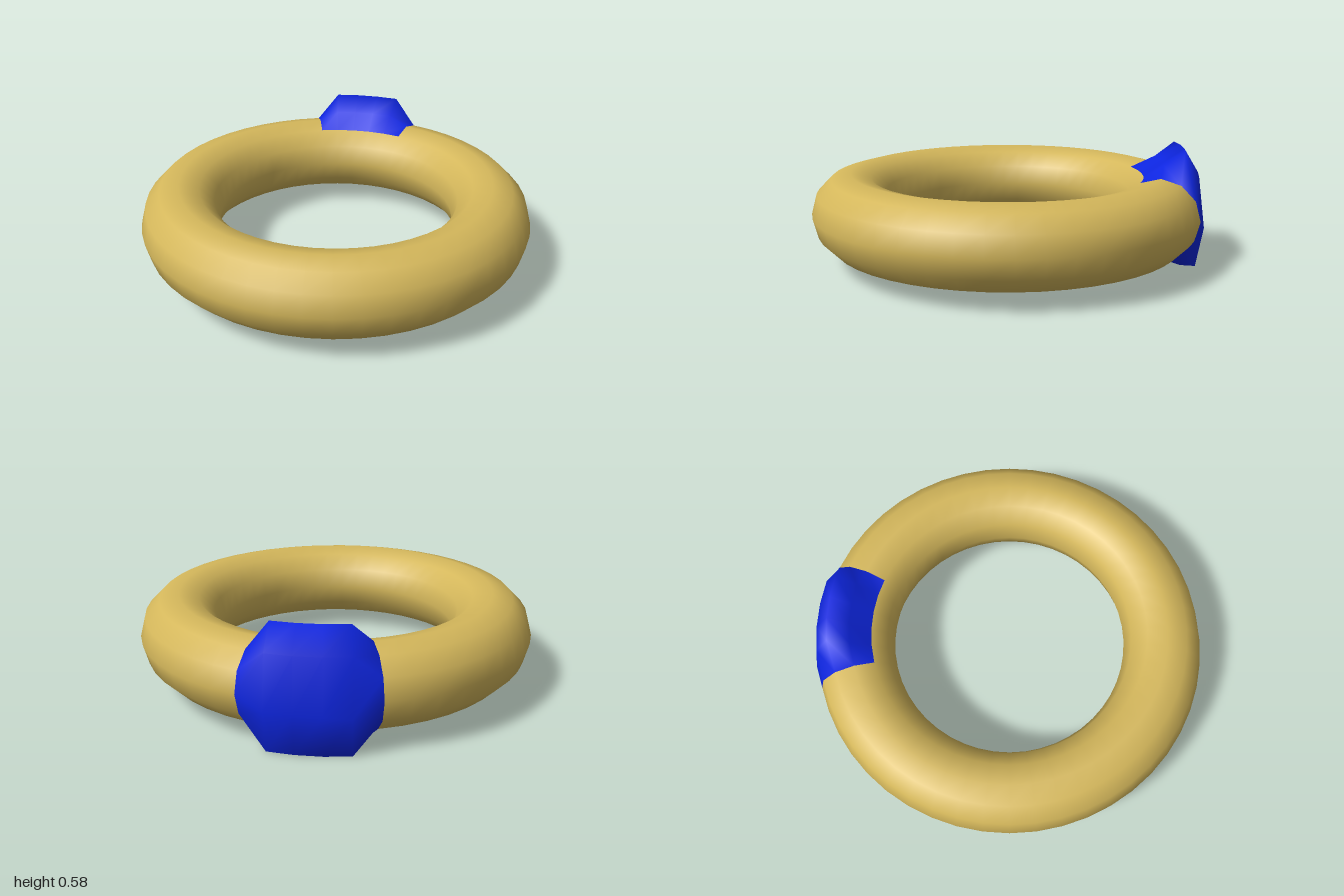
import * as THREE from 'three';
import { mergeVertices } from 'three/addons/utils/BufferGeometryUtils.js';

const SIDES = 12, SEGMENTS = 48, CENTRE_Y = 0.26;

// A lying torus that keeps only the grid cells accepted by the test.
function torusPatch(keep) {
  const g = new THREE.TorusGeometry(0.8, 0.2, SIDES, SEGMENTS);
  g.rotateX(-Math.PI / 2);
  g.translate(0, CENTRE_Y, 0);
  const all = g.index.array, kept = [];
  for (let j = 0; j < SIDES; j++) {
    for (let i = 0; i < SEGMENTS; i++) {
      const start = (j * SEGMENTS + i) * 6;
      if (keep(i, j)) kept.push(...all.slice(start, start + 6));
    }
  }
  g.setIndex(kept);
  return g;
}

// Cells at the back of the ring, covering top, outside and underside.
const inSetting = (i, j) => i >= 10 && i < 15 && (j >= 9 || j < 4);

// Raised profile of the setting: tube step -> [radius, height].
const RAISED = {
  3: [0.8, 0.508], 2: [0.9, 0.58], 1: [0.973, 0.46], 0: [1.0, 0.2],
  11: [0.973, 0], 10: [0.9, 0],
};

function settingGeometry() {
  const g = torusPatch(inSetting);
  const p = g.attributes.position;
  for (let j = 0; j <= SIDES; j++) {
    const profile = RAISED[j % SIDES];
    if (!profile) continue;
    // Only the inner columns rise; the outer ones stay on the ring.
    for (let i = 11; i < 15; i++) {
      const a = (i / SEGMENTS) * Math.PI * 2;
      const [r, y] = profile;
      let z = -r * Math.sin(a);
      if (j % SIDES === 0) z = i === 14 ? -0.99 : -1; // flattened outer face
      p.setXYZ(j * (SEGMENTS + 1) + i, r * Math.cos(a), y, z);
    }
  }
  g.deleteAttribute('uv');
  g.deleteAttribute('normal');
  const merged = mergeVertices(g, 1e-4);
  merged.computeVertexNormals();
  return merged;
}

export function createModel() {
  const gold = new THREE.MeshStandardMaterial({ color: 0xd4b75b });
  gold.name = 'gold';
  const blue = new THREE.MeshStandardMaterial({ color: 0x0d25e0 });
  blue.name = 'blue';

  const band = new THREE.Mesh(torusPatch((i, j) => !inSetting(i, j)), gold);
  band.name = 'band';
  const stone = new THREE.Mesh(settingGeometry(), blue);
  stone.name = 'stone';

  const model = new THREE.Group();
  model.name = 'ring';
  model.add(band, stone);
  return model;
}
